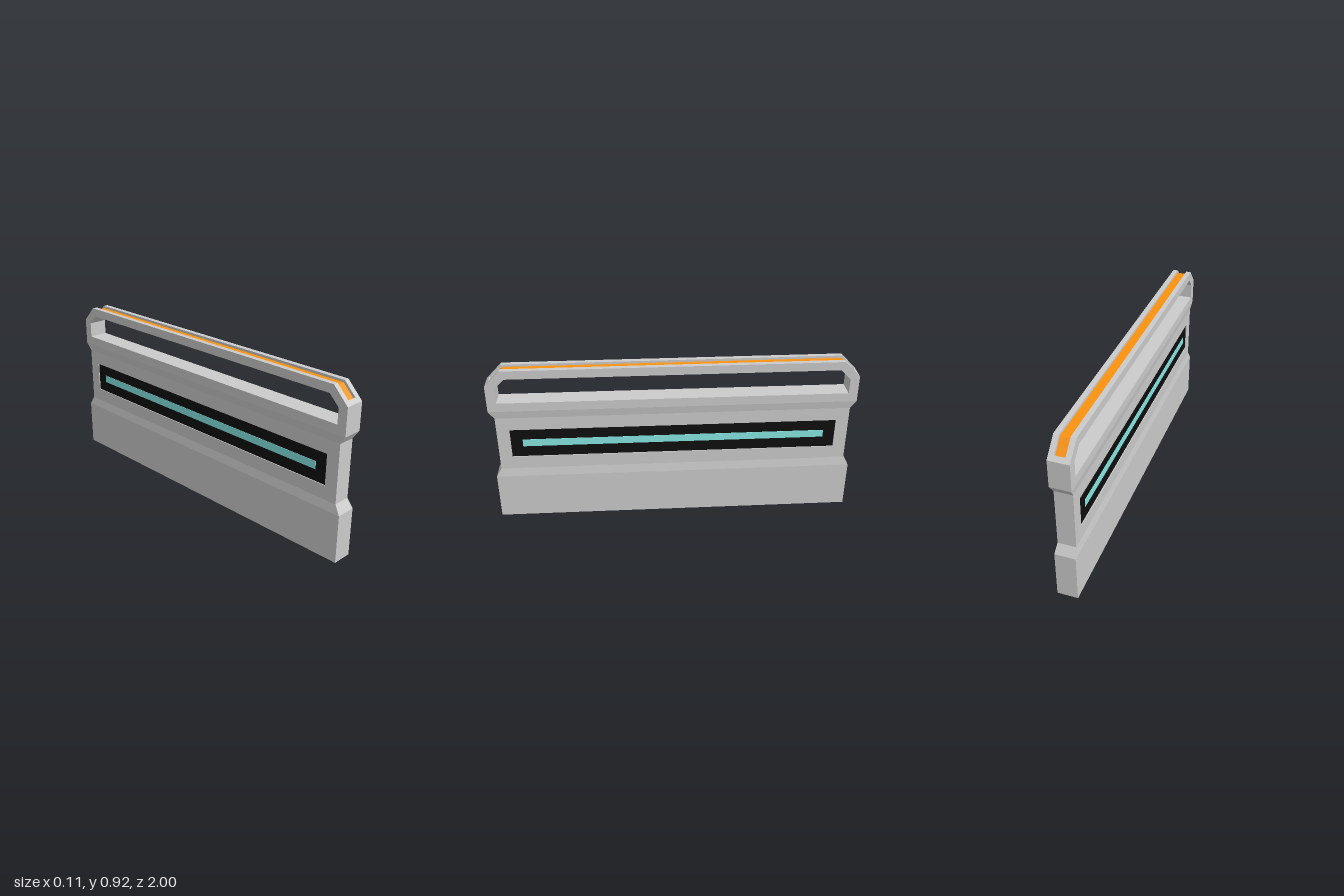
import * as THREE from 'three';

const material = (color) => new THREE.MeshStandardMaterial({ color, flatShading: true, side: THREE.DoubleSide });
const grey = material(0xcccccc);
const orange = material(0xfa920f);
const black = material(0x0e0e0e);
const cyan = material(0x86e8e4);

const WIDE = 0.055, WAIST = 0.048, FLOOR = 0.041, SLOT = 0.027;

export function createModel() {
  const model = new THREE.Group();

  const add = (name, geometry, mat, x = 0, y = 0, z = 0) => {
    const mesh = new THREE.Mesh(geometry, mat);
    mesh.name = name;
    mesh.position.set(x, y, z);
    model.add(mesh);
    return mesh;
  };

  // Block whose rows follow [y, half width, half length]
  const block = (rows) => {
    const n = rows.length - 1;
    const indexed = new THREE.BoxGeometry(2, n, 2, 1, n, 1);
    const p = indexed.attributes.position;
    for (let i = 0; i < p.count; i++) {
      const [y, hx, hz] = rows[Math.round(p.getY(i) + n / 2)];
      p.setXYZ(i, p.getX(i) * hx, y, p.getZ(i) * hz);
    }
    const geometry = indexed.toNonIndexed();
    geometry.computeVertexNormals();
    return geometry;
  };

  // Side outline of (z, y) points, extruded across x from x0 to x1
  const slab = (points, x0, x1, hole) => {
    const toShape = ([z, y]) => new THREE.Vector2(-z, y);
    const shape = new THREE.Shape(points.map(toShape));
    if (hole) shape.holes.push(new THREE.Path(hole.map(toShape)));
    const geometry = new THREE.ExtrudeGeometry(shape, { depth: x1 - x0, bevelEnabled: false });
    return geometry.translate(0, 0, x0).rotateY(Math.PI / 2);
  };
  const rect = (hz, y0, y1) => [[-hz, y0], [hz, y0], [hz, y1], [-hz, y1]];
  const mirrored = (half) => [...half, ...half.map(([z, y]) => [-z, y]).reverse()];

  // Base and shoulder flare out from the waist
  add('base', block([[0, WIDE, 1], [0.265, WIDE, 1], [0.315, WAIST, 0.97]]), grey);
  add('shoulder', block([[0.635, WAIST, 0.97], [0.68, WIDE, 1], [0.73, WIDE, 1]]), grey);

  // Waist core, with a recessed panel and light strip on both sides
  add('waistCore', block([[0.315, FLOOR, 0.97], [0.635, FLOOR, 0.97]]), grey);
  for (const side of [-1, 1]) {
    const x0 = side > 0 ? FLOOR : -WAIST;
    add('waistSide', slab(rect(0.97, 0.315, 0.635), x0, x0 + WAIST - FLOOR, rect(0.9, 0.39, 0.56)), grey);
    add('panel', new THREE.BoxGeometry(0.004, 0.17, 1.8), black, side * FLOOR, 0.475, 0);
    add('lightStrip', new THREE.BoxGeometry(0.004, 0.043, 1.67), cyan, side * (FLOOR + 0.002), 0.475, 0);
  }

  // Handle: two outer rails around a lowered core
  const inner = mirrored([[0.95, 0.73], [0.95, 0.815], [0.895, 0.87]]).reverse();
  const rail = [...mirrored([[1, 0.73], [1, 0.83], [0.915, 0.918]]), ...inner];
  const inset = (d) => [[0.98 - 0.72 * d, 0.85 - 0.695 * d], [0.915 - 0.4 * d, 0.918 - d]];
  const core = [...mirrored([[1, 0.73], [1, 0.83], [0.98, 0.85], ...inset(0.02)]), ...inner];
  add('handleRail', slab(rail, SLOT, WIDE), grey);
  add('handleRail', slab(rail, -WIDE, -SLOT), grey);
  add('handleCore', slab(core, -SLOT, SLOT), grey);

  // Coloured strip lying in the groove of the handle
  const strip = [...mirrored(inset(0.013)), ...mirrored(inset(0.02)).reverse()];
  add('gripStrip', slab(strip, -SLOT, SLOT), orange);

  return model;
}
